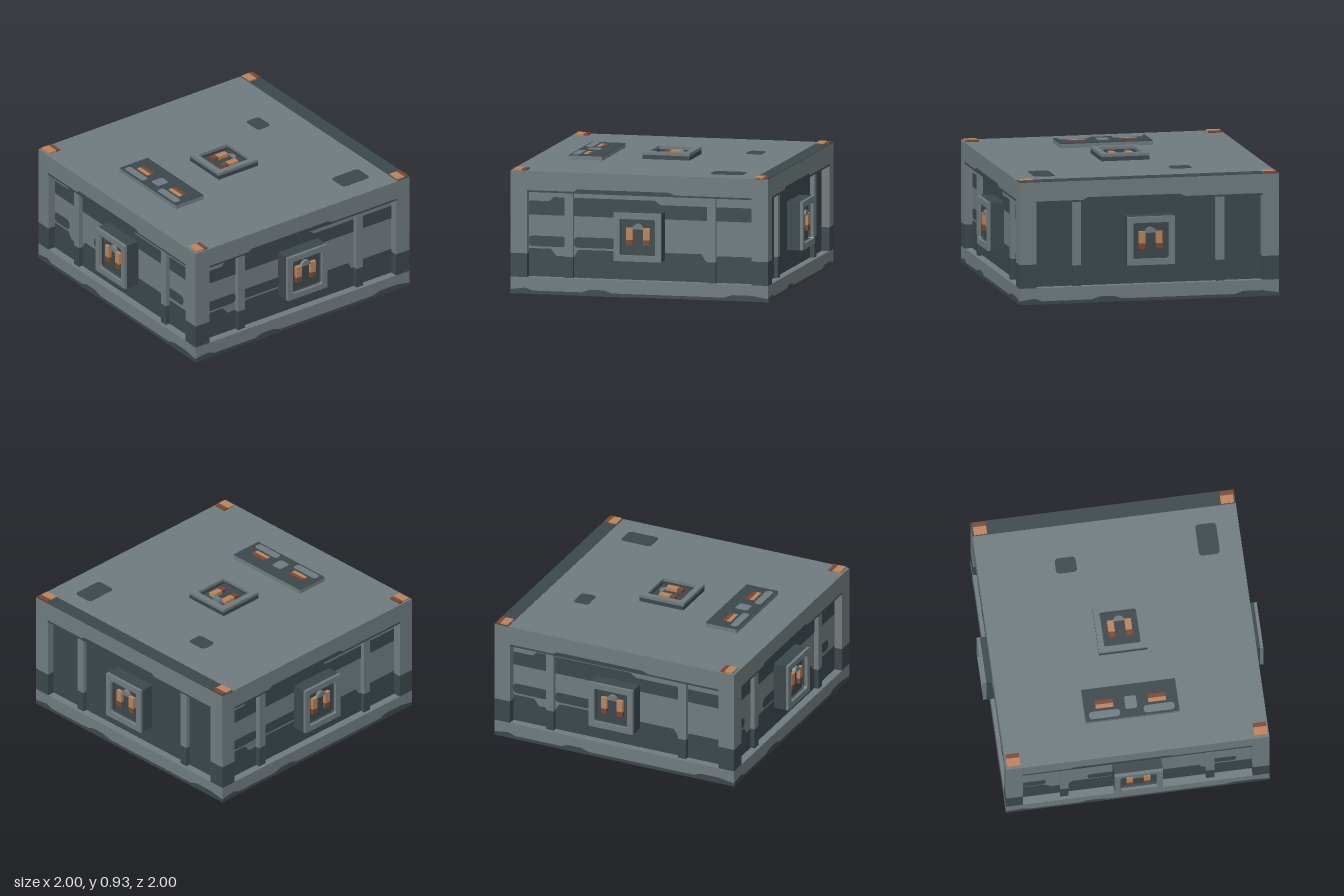
import * as THREE from 'three';

const mat = (name, color) => {
  const m = new THREE.MeshStandardMaterial({ color });
  m.name = name;
  return m;
};

export function createModel() {
  const light = mat('light steel', 0x6f7b7f);
  const dark = mat('dark steel', 0x3b474b);
  const copper = mat('copper', 0xbd8257);
  const rust = mat('dark copper', 0x7a4632);
  const tan = mat('tan', 0xc4ae8c);

  const add = (parent, name, geo, m, x = 0, y = 0, z = 0) => {
    const mesh = new THREE.Mesh(geo, m);
    mesh.name = name;
    mesh.position.set(x, y, z);
    parent.add(mesh);
    return mesh;
  };
  // Box given by its extents
  const box = (parent, name, m, x0, x1, y0, y1, z0, z1) =>
    add(parent, name, new THREE.BoxGeometry(x1 - x0, y1 - y0, z1 - z0), m,
      (x0 + x1) / 2, (y0 + y1) / 2, (z0 + z1) / 2);
  const group = (parent, name) => {
    const g = new THREE.Group();
    g.name = name;
    parent.add(g);
    return g;
  };
  const rectPath = (P, x0, x1, y0, y1, r = 0) => {
    const p = new P();
    if (!r) {
      p.moveTo(x0, y0).lineTo(x1, y0).lineTo(x1, y1).lineTo(x0, y1).closePath();
      return p;
    }
    p.moveTo(x0 + r, y0);
    p.lineTo(x1 - r, y0).quadraticCurveTo(x1, y0, x1, y0 + r);
    p.lineTo(x1, y1 - r).quadraticCurveTo(x1, y1, x1 - r, y1);
    p.lineTo(x0 + r, y1).quadraticCurveTo(x0, y1, x0, y1 - r);
    p.lineTo(x0, y0 + r).quadraticCurveTo(x0, y0, x0 + r, y0);
    return p;
  };
  const extrude = (shape, depth) =>
    new THREE.ExtrudeGeometry(shape, { depth, bevelEnabled: false, curveSegments: 5 });
  // Thin painted plates in the local xy plane
  const patch = (parent, name, m, x0, x1, y0, y1, z, r = 0.03) =>
    add(parent, name, extrude(rectPath(THREE.Shape, x0, x1, y0, y1, r), 0.003), m, 0, 0, z);
  const outline = (parent, name, m, pts, z) =>
    add(parent, name, extrude(new THREE.Shape(pts.map(p => new THREE.Vector2(...p))), 0.003), m, 0, 0, z);

  const model = new THREE.Group();
  model.name = 'plated module';
  const B = 0.94;

  // Main structure
  const body = group(model, 'body');
  box(body, 'core', light, -0.88, 0.88, 0.12, 0.73, -0.88, 0.88);
  box(body, 'topSlab', light, -B, B, 0.73, 0.88, -B, B);
  const baseShape = rectPath(THREE.Shape, -B, B, -B, B);
  baseShape.holes.push(rectPath(THREE.Path, -0.41, 0.41, -0.29, 0.29));
  add(body, 'bottomSlab', extrude(baseShape, 0.117).rotateX(-Math.PI / 2), light, 0, 0.003, 0);
  for (const sx of [-1, 1]) for (const sz of [-1, 1]) {
    const x = sx * 0.88, z = sz * 0.88;
    box(body, 'cornerPost', light, x - 0.06, x + 0.06, 0.29, 0.73, z - 0.06, z + 0.06);
    box(body, 'cornerPostFoot', dark, x - 0.06, x + 0.06, 0.12, 0.29, z - 0.06, z + 0.06);
  }

  // Square socket with two contacts, facing local +z
  const socket = (parent, h) => {
    const g = group(parent, 'socket');
    const ring = depth => {
      const s = rectPath(THREE.Shape, -0.173, 0.173, -0.173, 0.173);
      s.holes.push(rectPath(THREE.Path, -0.13, 0.13, -0.13, 0.13, 0.015));
      return extrude(s, depth);
    };
    add(g, 'socketWall', ring(h - 0.022), dark);
    add(g, 'socketRim', ring(0.022), light, 0, 0, h - 0.022);
    const f = h - 0.04;
    box(g, 'socketFloor', dark, -0.135, 0.135, -0.135, 0.135, 0, f);
    for (const s of [-1, 1]) {
      box(g, 'contact', copper, s * 0.062 - 0.023, s * 0.062 + 0.023, -0.02, 0.065, f, f + 0.025);
      box(g, 'contactFoot', rust, s * 0.062 - 0.023, s * 0.062 + 0.023, -0.06, -0.02, f, f + 0.025);
    }
    add(g, 'socketKey', new THREE.CylinderGeometry(0.04, 0.04, 0.025, 10, 1, false, Math.PI / 2, Math.PI)
      .rotateX(Math.PI / 2), light, 0, 0.055, f + 0.0125);
    return g;
  };

  // Four walls, built facing +z and turned about the vertical axis
  ['front', 'right', 'back', 'left'].forEach((side, i) => {
    const w = group(model, side + 'Wall');
    w.rotation.y = i * Math.PI / 2;
    if (side === 'back') {
      box(w, 'darkPanel', dark, -0.82, 0.82, 0.12, 0.73, 0.88, 0.884);
    } else {
      outline(w, 'lowerBand', dark, [[-0.82, 0.12], [0.82, 0.12], [0.82, 0.31], [0.56, 0.31], [0.53, 0.27],
        [0.47, 0.27], [0.44, 0.32], [-0.46, 0.32], [-0.49, 0.27], [-0.62, 0.27], [-0.66, 0.32], [-0.82, 0.32]], 0.88);
      outline(w, 'upperBand', dark, [[-0.82, 0.56], [0.82, 0.56], [0.82, 0.66], [0.14, 0.66], [0.1, 0.69],
        [-0.64, 0.69], [-0.67, 0.66], [-0.82, 0.66]], 0.88);
      const pills = i === 0 ? [[-0.82, -0.65], [-0.35, -0.15], [0.53, 0.71]] : [[-0.82, -0.55], [-0.49, -0.15]];
      for (const [a, b] of pills) patch(w, 'pillMark', dark, a, b, 0.335, 0.41, 0.88);
    }
    for (const x of [-0.52, 0.52]) {
      box(w, 'rib', light, x - 0.03, x + 0.03, 0.27, 0.73, 0.88, 0.915);
      box(w, 'ribFoot', dark, x - 0.03, x + 0.03, 0.12, 0.27, 0.88, 0.915);
    }
    // Worn edges on the frame
    outline(w, 'topStreak', dark, [[-0.82, 0.73], [0.82, 0.73], [0.82, 0.742], [0.26, 0.742], [0.22, 0.76],
      [-0.45, 0.76], [-0.48, 0.742], [-0.82, 0.742]], B);
    outline(w, 'bottomStreak', dark, [[-B, 0.003], [B, 0.003], [B, 0.025], [0.82, 0.045], [0.68, 0.045], [0.62, 0.025],
      [-0.2, 0.025], [-0.26, 0.045], [-0.36, 0.045], [-0.42, 0.025], [-0.78, 0.025], [-0.83, 0.045], [-B, 0.03]], B);
    socket(w, 0.12).position.set(0, 0.44, 0.88);
  });

  // Roof: local xy plane turned to face up, local y runs towards the back
  const roof = group(model, 'roof');
  roof.rotation.x = -Math.PI / 2;
  roof.position.y = 0.88;
  box(roof, 'rearStrip', dark, -B, B, 0.835, B, 0, 0.003);
  patch(roof, 'smallPatch', dark, -0.39, -0.24, 0.475, 0.59, 0);
  patch(roof, 'largePatch', dark, 0.63, 0.78, 0.475, 0.71, 0);
  socket(roof, 0.052);
  for (const x of [-0.882, 0.882]) for (const y of [-0.92, 0.84]) {
    box(roof, 'cornerStud', copper, x - 0.047, x + 0.047, y, y + 0.06, 0, 0.012);
    box(roof, 'cornerStudEdge', rust, x - 0.047, x + 0.047, y + 0.06, y + 0.092, 0, 0.012);
  }
  // Slotted plate on the roof
  const slots = group(roof, 'slotPlate');
  box(slots, 'slotPlateBase', light, -0.335, 0.335, -0.67, -0.425, 0, 0.03);
  box(slots, 'slotPlateFace', dark, -0.335, 0.335, -0.67, -0.425, 0.03, 0.033);
  patch(slots, 'slotCenter', light, -0.042, 0.042, -0.61, -0.515, 0.033, 0.015);
  for (const s of [-1, 1]) {
    const x = s * 0.188;
    patch(slots, 'slotMark', light, s * 0.195 - 0.11, s * 0.195 + 0.11, -0.655, -0.6, 0.033, 0.025);
    box(slots, 'slotContact', copper, x - 0.063, x + 0.063, -0.58, -0.55, 0.033, 0.036);
    box(slots, 'slotContactEdge', rust, x - 0.063, x + 0.063, -0.55, -0.52, 0.033, 0.036);
  }

  // Underside: local xy plane turned to face down, local y equals model z
  const under = group(model, 'underside');
  under.rotation.x = Math.PI / 2;
  under.position.y = 0.003;
  const frontShade = [[-B, 0.07], [-0.41, 0.07], [-0.41, 0.29]];
  for (const s of [-1, 1]) {
    box(under, 'darkSide', dark, s < 0 ? -B : 0.42, s < 0 ? -0.42 : B, 0.07, 0.57, 0, 0.003);
    box(under, 'darkFlank', dark, s < 0 ? -0.53 : 0.41, s < 0 ? -0.41 : 0.53, -0.29, 0.07, 0, 0.003);
  }
  box(under, 'darkFront', dark, -B, B, 0.57, B, 0, 0.003);
  patch(under, 'darkRear', dark, -0.53, 0.53, -0.57, -0.29, 0, 0.02);
  patch(under, 'rearSlot', dark, -0.46, -0.06, -0.76, -0.7, 0);
  patch(under, 'frontSlot', dark, -0.38, 0.02, 0.43, 0.48, 0, 0.025);
  patch(under, 'largeMark', dark, -0.92, -0.76, -0.64, -0.42, 0);
  patch(under, 'smallMark', dark, 0.44, 0.6, -0.62, -0.5, 0);

  // Recessed hatch in the underside
  const hatch = group(under, 'hatch');
  box(hatch, 'hatchFloor', tan, -0.41, 0.41, -0.29, 0.29, -0.112, -0.092);
  box(hatch, 'hatchStrap', copper, -0.07, 0.07, -0.29, 0.29, -0.092, -0.084);
  const buckle = rectPath(THREE.Shape, -0.09, 0.09, -0.07, 0.07, 0.02);
  buckle.holes.push(rectPath(THREE.Path, -0.06, 0.06, -0.04, 0.04));
  add(hatch, 'hatchBuckle', extrude(buckle, 0.015), light, 0, 0, -0.084);
  box(hatch, 'hatchBuckleCenter', dark, -0.06, 0.06, -0.04, 0.04, -0.084, -0.078);

  return model;
}
